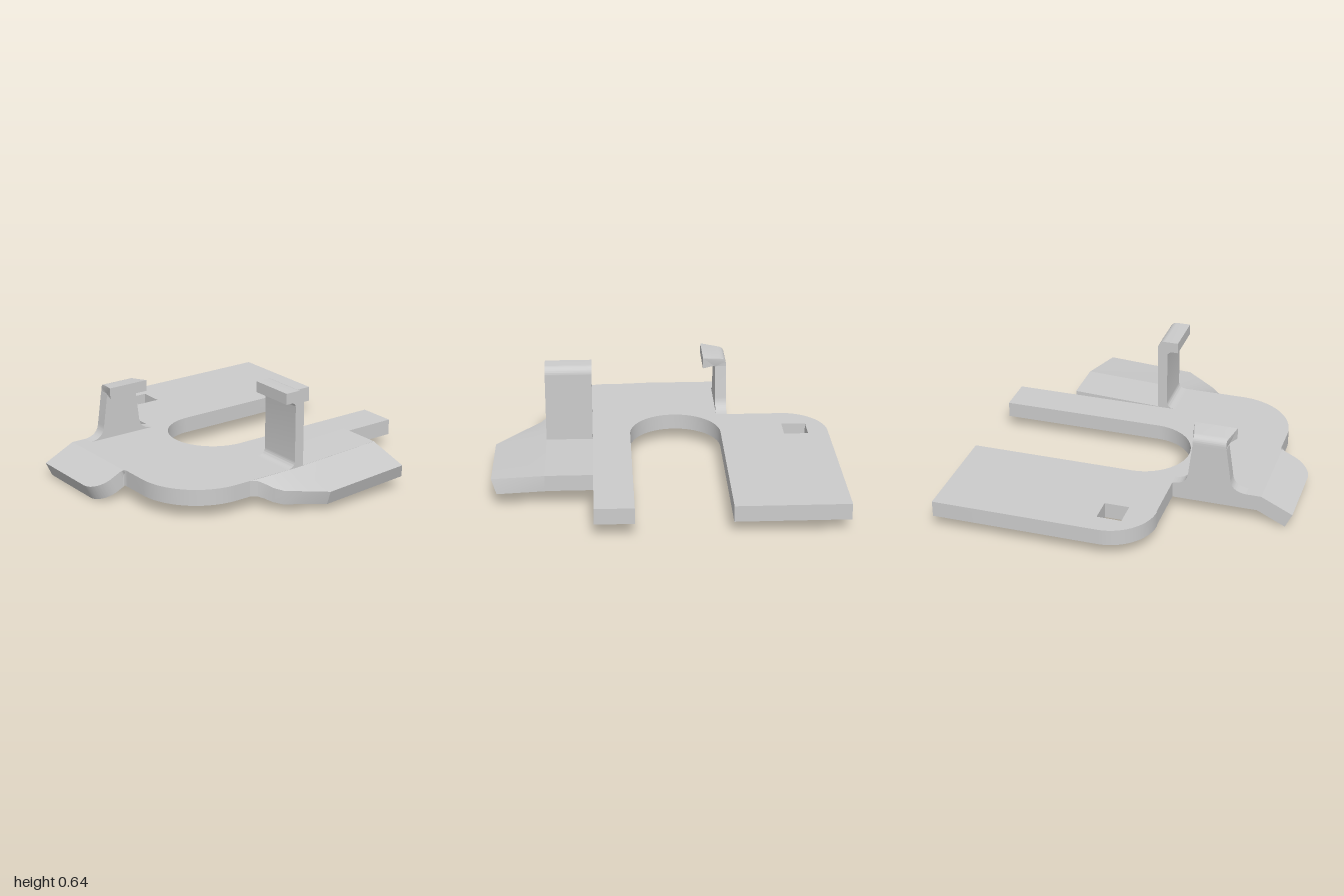
import * as THREE from 'three';
import { toCreasedNormals } from 'three/addons/utils/BufferGeometryUtils.js';

const TOP = 0.18, THICK = 0.095;
const material = new THREE.MeshStandardMaterial({ color: 0xcccccc });

function part(name, geometry, crease = 0.5) {
  const mesh = new THREE.Mesh(toCreasedNormals(geometry, crease), material);
  mesh.name = name;
  return mesh;
}

const extrude = (shape, depth) =>
  new THREE.ExtrudeGeometry(shape, { depth, bevelEnabled: false, curveSegments: 20 });

// Plan outline (x, z) made into a slab hanging below y = 0
const slab = (shape) => extrude(shape, THICK).rotateX(Math.PI / 2);

// Side profile (z, y) made solid between two x positions
const acrossX = (shape, x0, x1) => extrude(shape, x1 - x0).rotateY(-Math.PI / 2).translate(x1, 0, 0);

// Solid through four-cornered sections, ordered back to front
function loft(sections) {
  const pos = [];
  const tri = (...p) => p.forEach((v) => pos.push(...v));
  for (let i = 0; i < sections.length - 1; i++) {
    for (let j = 0; j < 4; j++) {
      const k = (j + 1) % 4;
      const a = sections[i][j], b = sections[i][k], c = sections[i + 1][k], d = sections[i + 1][j];
      tri(a, d, c);
      tri(a, c, b);
    }
  }
  const [a, b, c, d] = sections[0];
  tri(a, b, c);
  tri(a, c, d);
  const [e, f, g, h] = sections[sections.length - 1];
  tri(e, g, f);
  tri(e, h, g);
  const geo = new THREE.BufferGeometry();
  geo.setAttribute('position', new THREE.Float32BufferAttribute(pos, 3));
  geo.computeVertexNormals();
  return geo;
}

function basePlate() {
  const s = new THREE.Shape();
  s.moveTo(-1, -0.98);
  s.lineTo(-0.35, -0.98);
  s.lineTo(-0.35, 0);
  s.absarc(-0.0775, 0, 0.2725, Math.PI, 0, true);
  s.lineTo(0.195, -0.98);
  s.lineTo(0.42, -0.98);
  s.lineTo(0.42, -0.02);
  s.lineTo(0.695, -0.02);
  s.lineTo(0.695, 0.4);
  s.absarc(0.32, 0.405, 0.375, 0, Math.PI / 2, false);
  s.lineTo(0.17, 0.78);
  s.quadraticCurveTo(0.14, 0.78, 0.135, 0.79);
  s.lineTo(-0.41, 0.79);
  s.lineTo(-0.41, 0.265);
  s.lineTo(-0.73, 0.265);
  s.absarc(-0.73, 0, 0.268, Math.PI / 2, Math.PI, false);
  s.closePath();
  // square locating hole
  const h = new THREE.Path();
  h.moveTo(-0.875, -0.04);
  h.lineTo(-0.875, 0.105);
  h.lineTo(-0.73, 0.105);
  h.lineTo(-0.73, -0.04);
  h.closePath();
  s.holes.push(h);
  return part('basePlate', slab(s).translate(0, TOP, 0));
}

// Front lip bent downwards
function frontTab() {
  const s = new THREE.Shape();
  s.moveTo(-0.41, 0);
  s.lineTo(0.15, 0);
  s.quadraticCurveTo(0.135, 0.005, 0.135, 0.03);
  s.lineTo(0.135, 0.08);
  s.absarc(0.01, 0.081, 0.125, 0, Math.PI / 2, false);
  s.lineTo(-0.41, 0.206);
  s.closePath();
  return part('frontTab', slab(s).rotateX(0.45).translate(0, TOP, 0.79));
}

// Panel that rises gently towards the back
function raisedPanel() {
  const row = (z, y) => [[0.42, y, z], [0.695, y, z], [0.695, y - THICK, z], [0.42, y - THICK, z]];
  return part('raisedPanel', loft([row(-0.61, 0.206), row(0, TOP)]), 0.3);
}

// Outer wing that folds down away from the panel
function sideWing() {
  // z, outer x, drop of the outer edge, inset of the lower edge
  const rows = [
    [-0.02, 1, 0.045, 0.03], [0.09, 0.91, 0.045, 0.02], [0.18, 0.835, 0.045, 0.01],
    [0.215, 0.785, 0.036, 0.005], [0.24, 0.735, 0.02, 0], [0.265, 0.708, 0.008, 0], [0.31, 0.696, 0, 0],
  ];
  const back = [[0.69, 0.206, -0.61], [1, 0.165, -0.555], [0.97, 0.082, -0.58], [0.69, 0.11, -0.61]];
  const sections = rows.map(([z, x, drop, inset]) => [
    [0.69, TOP, z],
    [x, TOP - drop, z],
    [x - inset, TOP - THICK - drop * 0.77, z],
    [0.69, TOP - THICK, z],
  ]);
  return part('sideWing', loft([back, ...sections]), 0.4);
}

// Upright with a short hook facing forward
function rearHook() {
  const s = new THREE.Shape();
  s.moveTo(-0.07, 0.15);
  s.lineTo(0.045, 0.15);
  s.lineTo(0.045, 0.18);
  s.quadraticCurveTo(-0.01, 0.18, -0.01, 0.225);
  s.lineTo(-0.01, 0.54);
  s.quadraticCurveTo(-0.01, 0.575, 0.025, 0.575);
  s.lineTo(0.057, 0.575);
  s.lineTo(0.057, 0.64);
  s.lineTo(-0.025, 0.64);
  s.absarc(-0.025, 0.595, 0.045, Math.PI / 2, Math.PI, false);
  s.closePath();
  return part('rearHook', acrossX(s, 0.42, 0.695));
}

// Flared upright with a widening hook turned inward
function sideHook() {
  const group = new THREE.Group();
  group.name = 'sideHook';
  const s = new THREE.Shape();
  s.moveTo(0.265, 0.15);
  s.lineTo(0.7, 0.15);
  s.lineTo(0.7, 0.18);
  s.bezierCurveTo(0.64, 0.185, 0.61, 0.21, 0.606, 0.27);
  s.lineTo(0.58, 0.455);
  s.lineTo(0.382, 0.455);
  s.lineTo(0.358, 0.26);
  s.bezierCurveTo(0.352, 0.21, 0.33, 0.185, 0.265, 0.18);
  s.closePath();
  group.add(part('hookUpright', acrossX(s, -0.41, -0.343)));

  const p = new THREE.Shape();
  p.moveTo(-0.41, 0.44);
  p.lineTo(-0.343, 0.44);
  p.quadraticCurveTo(-0.343, 0.457, -0.33, 0.457);
  p.lineTo(-0.265, 0.452);
  p.lineTo(-0.265, 0.519);
  p.lineTo(-0.365, 0.509);
  p.quadraticCurveTo(-0.41, 0.505, -0.41, 0.465);
  p.closePath();
  const tip = extrude(p, 2).translate(0, 0, -1);
  const pos = tip.attributes.position;
  for (let i = 0; i < pos.count; i++) {
    const widen = Math.max(0, pos.getX(i) + 0.343) / 0.078;
    pos.setZ(i, 0.48 + pos.getZ(i) * (0.098 + 0.03 * widen));
  }
  tip.computeVertexNormals();
  group.add(part('hookTip', tip));
  return group;
}

export function createModel() {
  const model = new THREE.Group();
  model.name = 'bracket';
  model.add(basePlate(), frontTab(), raisedPanel(), sideWing(), rearHook(), sideHook());
  return model;
}
